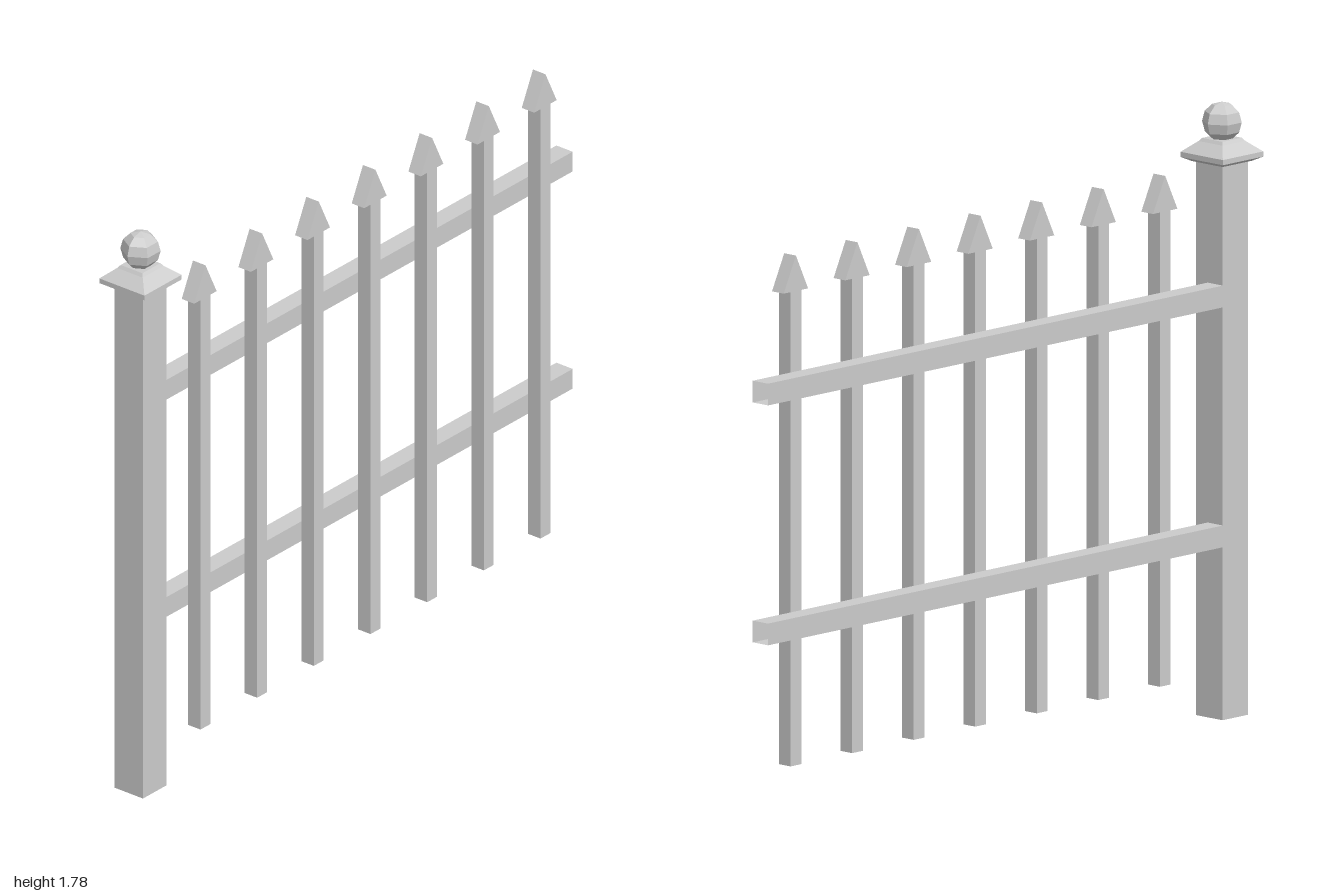
import * as THREE from 'three';

const material = new THREE.MeshStandardMaterial({
  color: 0xcccccc, flatShading: true, side: THREE.DoubleSide,
});

function part(name, geometry, x = 0, y = 0, z = 0) {
  const mesh = new THREE.Mesh(geometry, material);
  mesh.name = name;
  mesh.position.set(x, y, z);
  return mesh;
}

// Square tube along y with open ends, base at y = 0
function openTube(width, height, depth) {
  const g = new THREE.CylinderGeometry(Math.SQRT1_2, Math.SQRT1_2, 1, 4, 1, true);
  return g.rotateY(Math.PI / 4).translate(0, 0.5, 0).scale(width, height, depth);
}

// Square post with a moulded cap and a faceted ball
function createPost() {
  const post = new THREE.Group();
  post.name = 'post';
  post.position.z = 0.917;
  post.add(part('postShaft', openTube(0.104, 1.61, 0.104)));

  const profile = [[0, 1.605], [0.06, 1.605], [0.083, 1.617], [0.083, 1.632], [0.047, 1.663], [0.04, 1.672], [0, 1.672]]
    .map(([half, y]) => new THREE.Vector2(half * Math.SQRT2, y));
  post.add(part('postCap', new THREE.LatheGeometry(profile, 4).rotateY(Math.PI / 4)));

  const ball = new THREE.SphereGeometry(0.058, 6, 6).rotateY(Math.PI / 2);
  post.add(part('postBall', ball, 0, 1.719, 0));
  return post;
}

// Slim picket topped by a flat triangular point
function createPicket(z) {
  const depth = 0.046;
  const picket = new THREE.Group();
  picket.name = 'picket';
  picket.position.set(0.03, 0, z);
  picket.add(part('picketBar', openTube(depth, 1.375, 0.044), 0, 0.118, 0));

  const triangle = new THREE.Shape([
    new THREE.Vector2(-0.05, 1.492),
    new THREE.Vector2(0.05, 1.492),
    new THREE.Vector2(0, 1.595),
  ]);
  const head = new THREE.ExtrudeGeometry(triangle, { depth, bevelEnabled: false });
  head.translate(0, 0, -depth / 2).rotateY(Math.PI / 2);
  picket.add(part('picketPoint', head));
  return picket;
}

export function createModel() {
  const fence = new THREE.Group();
  fence.name = 'fencePanel';
  fence.add(createPost());

  // Horizontal rails running back from the post, open at the far end
  for (const [name, y] of [['lowerRail', 0.533], ['upperRail', 1.228]]) {
    const rail = openTube(0.06, 1.867, 0.063).rotateX(Math.PI / 2);
    fence.add(part(name, rail, -0.024, y, -1));
  }

  // Seven evenly spaced pickets on the left face of the rails
  for (let i = 0; i < 7; i++) fence.add(createPicket(0.692 - i * 0.2523));
  return fence;
}
